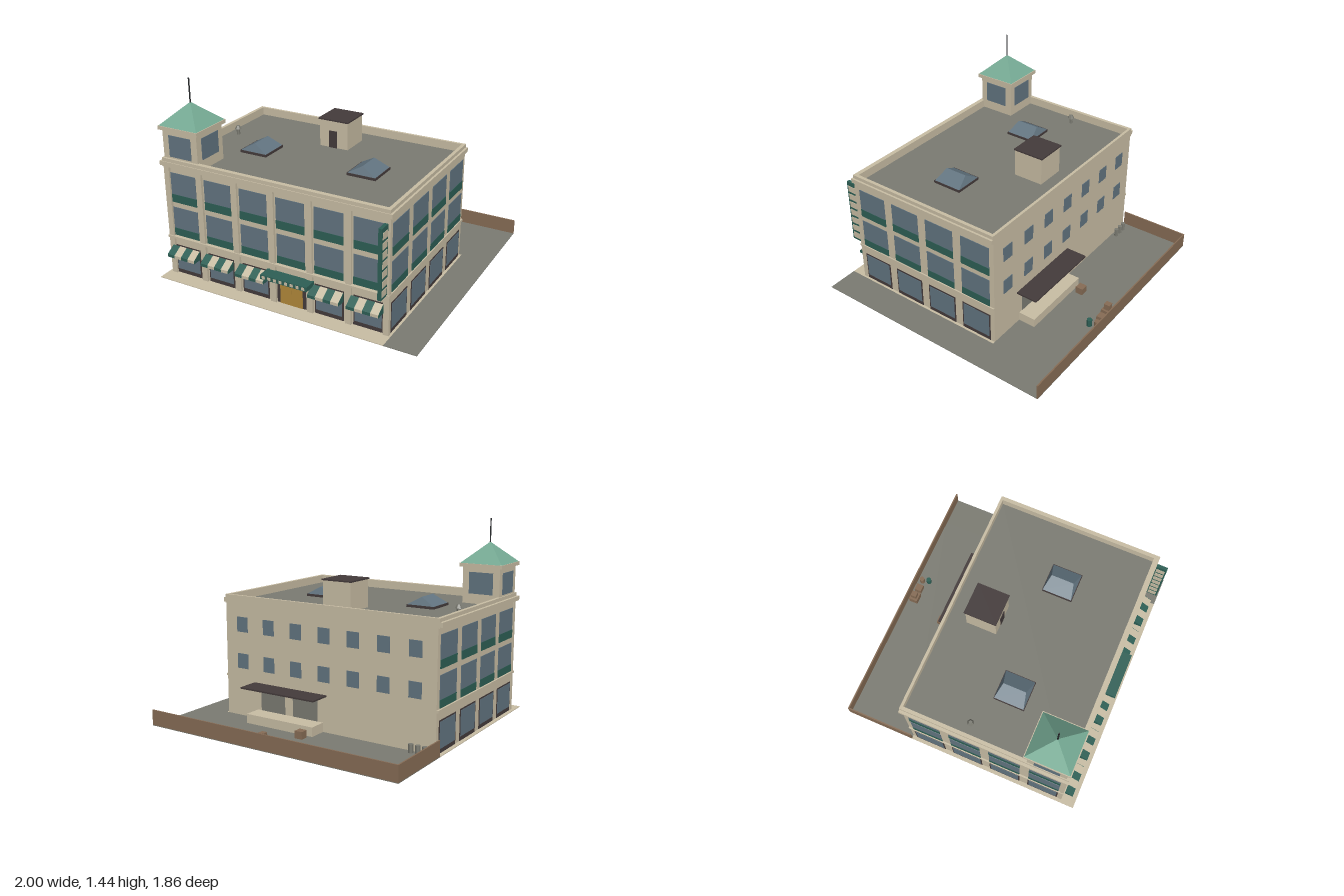
import * as THREE from 'three';

const mat = (name, color) => {
  const m = new THREE.MeshStandardMaterial({ color });
  m.name = name;
  return m;
};

export function createModel() {
  const model = new THREE.Group();
  model.name = 'cornerStore';
  const cream = mat('cream stone', 0xc8bda4), glass = mat('blue grey glass', 0x627480);
  const green = mat('dark green', 0x2d5f55), mint = mat('copper green', 0x74a892);
  const dark = mat('dark brown', 0x443b3b), grey = mat('asphalt grey', 0x7b7b72);
  const brown = mat('brown wood', 0x866c55), gold = mat('golden door', 0xb0883a);
  const black = mat('black metal', 0x26282a);

  const add = (name, geo, m, parent = model) => {
    const mesh = new THREE.Mesh(geo, m);
    mesh.name = name;
    parent.add(mesh);
    return mesh;
  };
  const box = (name, m, x0, x1, y0, y1, z0, z1, parent) => {
    const g = new THREE.BoxGeometry(x1 - x0, y1 - y0, z1 - z0);
    g.translate((x0 + x1) / 2, (y0 + y1) / 2, (z0 + z1) / 2);
    return add(name, g, m, parent);
  };
  const cyl = (name, m, x, z, r, y0, y1, sides = 6, rTop = r) => {
    const g = new THREE.CylinderGeometry(rTop, r, y1 - y0, sides).toNonIndexed();
    g.computeVertexNormals();
    g.translate(x, (y0 + y1) / 2, z);
    return add(name, g, m);
  };
  // Group placed on a wall: local +z points out of the wall
  const wall = (name, x, z, turn) => {
    const g = new THREE.Group();
    g.name = name;
    g.position.set(x, 0, z);
    g.rotation.y = turn;
    model.add(g);
    return g;
  };
  const pane = (name, m, cx, w, y0, y1, parent, t = 0.004) =>
    box(name, m, cx - w / 2, cx + w / 2, y0, y1, -0.001, t, parent);

  const X0 = -0.97, X1 = 0.75, ZB = -0.4, ZF = 0.808, ROOF = 0.835;

  // Ground, pavement and fence
  box('pavement', cream, -1, 0.77, 0, 0.005, ZB, 0.93);
  box('sideLot', grey, 0.77, 1, 0, 0.005, -0.93, 0.93);
  box('rearLot', grey, -1, 0.77, 0, 0.005, -0.93, ZB);
  box('rearFence', brown, -1, 1, 0.001, 0.115, -0.93, -0.92);
  box('sideFence', brown, -1, -0.99, 0.001, 0.115, -0.92, ZB);

  // Main block, roof, parapet and cornice
  box('mainBlock', cream, X0, X1, 0.005, 0.83, ZB, ZF);
  box('flatRoof', grey, X0 + 0.01, X1 - 0.01, 0.83, ROOF, ZB + 0.01, 0.8);
  box('frontParapet', cream, -0.98, 0.755, 0.83, 0.895, 0.797, 0.83);
  box('rearParapet', cream, -0.98, 0.755, 0.83, 0.895, ZB, ZB + 0.02);
  box('leftParapet', cream, 0.73, 0.755, 0.83, 0.895, ZB + 0.02, 0.797);
  box('rightParapet', cream, -0.98, -0.955, 0.83, 0.895, ZB + 0.02, 0.797);
  box('frontCornice', cream, -1, 0.77, 0.838, 0.87, 0.8, 0.836);
  box('leftCornice', cream, 0.74, 0.77, 0.838, 0.87, ZB, 0.8);
  box('rightCornice', cream, -1, -0.96, 0.838, 0.87, ZB, 0.8);
  box('frontBelt', cream, -0.982, 0.76, 0.287, 0.303, 0.8, 0.834);
  box('leftBelt', cream, 0.74, 0.76, 0.287, 0.303, ZB, 0.8);
  box('rightBelt', cream, -0.982, -0.96, 0.287, 0.303, ZB, 0.8);

  // Two upper floors of glazing with green spandrels
  const upperBay = (cx, w, parent) => {
    for (const [y0, y1, s] of [[0.308, 0.525, 0.363], [0.565, 0.787, 0.625]]) {
      pane('upperWindow', glass, cx, w, s, y1, parent);
      pane('spandrel', green, cx, w, y0, s, parent, 0.006);
    }
  };
  const shopBay = (cx, w, parent) => {
    pane('shopFrame', dark, cx, w, 0.006, 0.228, parent, 0.003);
    pane('shopWindow', glass, cx, w - 0.02, 0.037, 0.218, parent, 0.006);
  };

  // Awning made of striped wedges, with green end cheeks
  const awningProfile = new THREE.Shape([[0, 0.165], [0.07, 0.165], [0.07, 0.187], [0, 0.23]]
    .map(p => new THREE.Vector2(...p)));
  const wedge = (name, m, x, w, parent) => {
    const g = new THREE.ExtrudeGeometry(awningProfile, { depth: w, bevelEnabled: false });
    g.rotateY(-Math.PI / 2);
    g.translate(x + w, 0, 0.018);
    add(name, g, m, parent);
  };
  const awning = (cx, parent) => {
    const x0 = cx - 0.115;
    for (let i = 0; i < 4; i++) wedge('awningStripe', i % 2 ? cream : green, x0 + i * 0.057, 0.057, parent);
    wedge('awningCheek', green, x0 - 0.002, 0.002, parent);
    wedge('awningCheek', green, x0 + 0.228, 0.002, parent);
  };

  // Front: six bays between pilasters, the fourth holds the entrance
  const front = wall('frontFacade', 0, ZF, 0);
  const step = (X1 - X0) / 6;
  for (let i = 0; i < 7; i++) {
    const x = THREE.MathUtils.clamp(X0 + i * step, -0.955, 0.735);
    box('pilaster', cream, x - 0.021, x + 0.021, 0.005, 0.838, -0.012, 0.018, front);
  }
  for (let i = 0; i < 6; i++) {
    const cx = X0 + (i + 0.5) * step - 0.004;
    upperBay(cx, 0.215, front);
    if (i === 3) continue;
    shopBay(cx, 0.215, front);
    awning(cx, front);
  }
  pane('entranceFrame', dark, 0.027, 0.225, 0.006, 0.21, front, 0.003);
  for (const s of [-1, 1]) pane('entranceDoor', gold, 0.027 + s * 0.0437, 0.0865, 0.006, 0.17, front, 0.007);
  pane('transom', glass, 0.027, 0.175, 0.172, 0.208, front, 0.006);
  box('entranceCanopy', green, -0.15, 0.208, 0.217, 0.25, 0.82, 0.915);
  for (let i = 0; i < 8; i++) {
    const x = -0.135 + i * 0.0435;
    box('canopyPlate', cream, x, x + 0.022, 0.223, 0.244, 0.914, 0.918);
  }

  // Blade sign with blank squares on both sides
  box('bladeSign', green, 0.717, 0.742, 0.308, 0.803, 0.832, 0.917);
  for (let i = 0; i < 7; i++) {
    const y = 0.325 + i * 0.0665;
    box('signSquare', cream, 0.714, 0.745, y, y + 0.047, 0.842, 0.906);
  }

  // Sides: four bays each
  for (const s of [-1, 1]) {
    const side = wall(s > 0 ? 'leftFacade' : 'rightFacade', s > 0 ? X1 : X0, 0, s * Math.PI / 2);
    for (let i = 0; i < 4; i++) {
      const z = 0.668 - i * 0.3045;
      upperBay(-s * z, 0.235, side);
      shopBay(-s * z, 0.24, side);
    }
  }

  // Rear: small windows, loading dock, doors and canopy
  const rear = wall('rearFacade', 0, ZB, Math.PI);
  for (let i = 0; i < 7; i++)
    for (const y of [0.415, 0.685])
      pane('rearWindow', glass, 0.107 + (i - 3) * 0.236, 0.095, y - 0.055, y + 0.055, rear);
  box('loadingDock', cream, -0.1, 0.47, 0.005, 0.072, -0.53, ZB);
  pane('loadingDoor', grey, -0.33, 0.21, 0.073, 0.225, rear);
  pane('loadingDoor', grey, -0.05, 0.21, 0.073, 0.225, rear);
  box('dockCanopy', dark, -0.13, 0.497, 0.26, 0.271, -0.56, ZB);

  // Yard clutter
  box('crate', brown, -0.075, -0.016, 0.005, 0.058, -0.615, -0.558);
  box('crate', brown, 0.015, 0.09, 0.005, 0.06, -0.905, -0.837);
  box('smallCrate', brown, 0.032, 0.074, 0.06, 0.105, -0.893, -0.85);
  box('crate', brown, 0.108, 0.163, 0.005, 0.055, -0.9, -0.845);
  cyl('barrel', brown, 0.21, -0.88, 0.02, 0.005, 0.06, 8);
  cyl('barrel', green, 0.225, -0.828, 0.02, 0.005, 0.06, 8);
  for (const x of [-0.91, -0.86, -0.808]) cyl('bin', grey, x, -0.435, 0.018, 0.005, 0.065);

  // Corner tower
  const TX = -0.83, TZ = 0.67;
  box('towerBody', cream, TX - 0.142, TX + 0.142, 0.83, 1.1, TZ - 0.142, TZ + 0.142);
  box('towerCap', cream, TX - 0.163, TX + 0.163, 1.098, 1.125, TZ - 0.163, TZ + 0.163);
  for (let i = 0; i < 4; i++) {
    const a = i * Math.PI / 2;
    const face = wall('towerFace', TX + Math.sin(a) * 0.142, TZ + Math.cos(a) * 0.142, a);
    pane('towerWindow', glass, 0, 0.183, 0.907, 1.063, face);
  }
  const pyramid = new THREE.ConeGeometry(0.158 * Math.SQRT2, 0.147, 4, 1).toNonIndexed();
  pyramid.rotateY(Math.PI / 4);
  pyramid.computeVertexNormals();
  pyramid.translate(TX, 1.1985, TZ);
  add('towerRoof', pyramid, mint);
  cyl('mast', black, TX, TZ, 0.005, 1.26, 1.44, 8);

  // Stair house
  box('stairHouse', cream, -0.223, 0.002, ROOF, 1.038, -0.245, -0.02);
  box('stairHouseRoof', dark, -0.232, 0.008, 1.037, 1.047, -0.253, -0.014);
  box('stairHouseDoor', dark, -0.147, -0.083, ROOF, 0.962, -0.021, -0.015);

  // Hipped skylights: a box whose top is pinched to a ridge along z
  for (const x of [-0.545, 0.315]) {
    box('skylightCurb', dark, x - 0.108, x + 0.108, ROOF, 0.853, 0.148, 0.373);
    const g = new THREE.BoxGeometry(0.208, 0.059, 0.217).toNonIndexed();
    const p = g.attributes.position;
    for (let i = 0; i < p.count; i++)
      if (p.getY(i) > 0) {
        p.setX(i, 0);
        p.setZ(i, p.getZ(i) * 0.77);
      }
    g.computeVertexNormals();
    g.translate(x, 0.8825, 0.26);
    add('skylightGlass', g, glass);
  }

  // Roof vent
  cyl('ventPipe', grey, -0.875, 0.08, 0.013, ROOF, 0.88);
  cyl('ventCap', grey, -0.875, 0.08, 0.026, 0.878, 0.904, 6, 0.012);

  return model;
}
